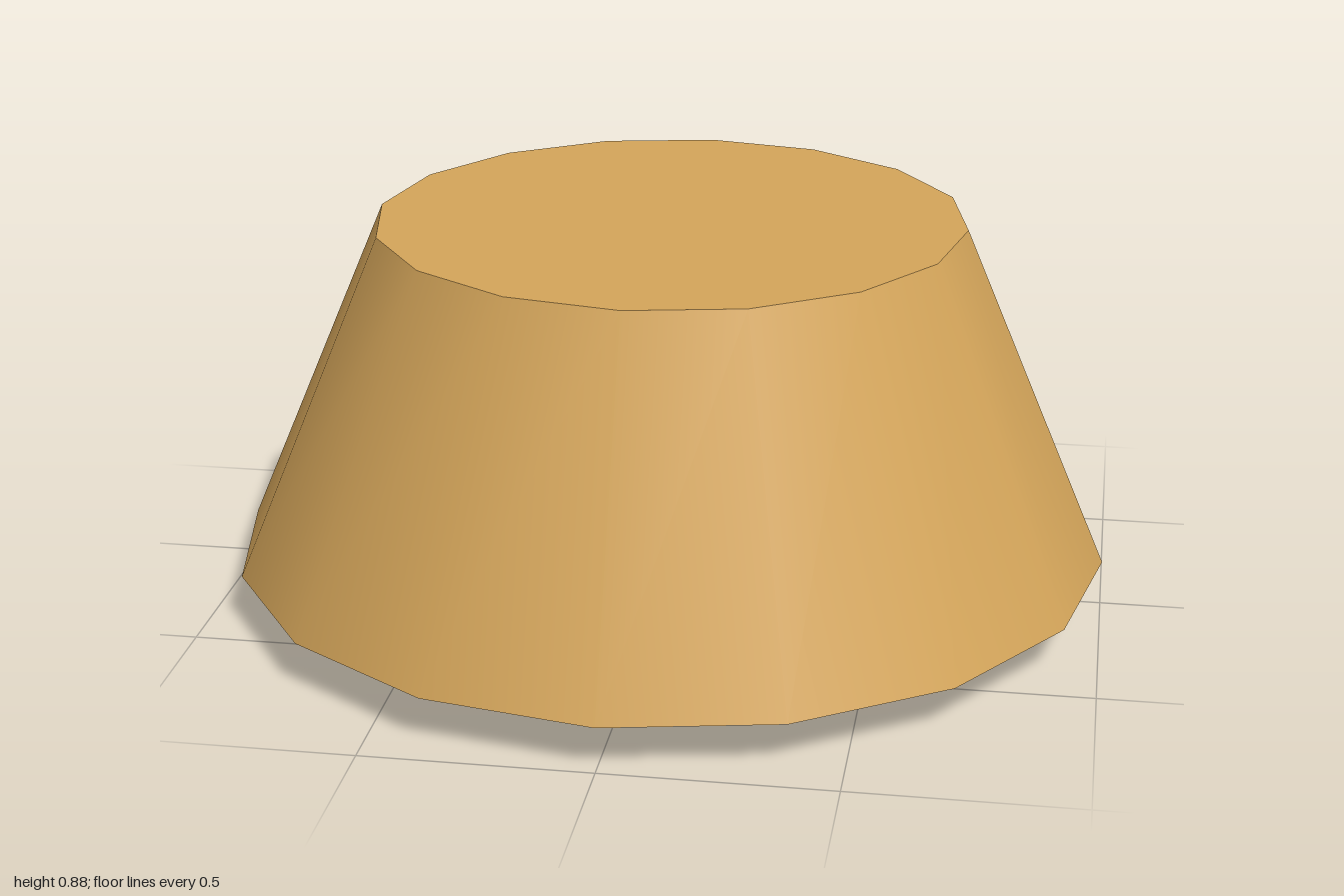
import * as THREE from 'three';

const SIDES = 16;

export function createModel() {
  const group = new THREE.Group();
  const gold = new THREE.MeshStandardMaterial({ name: 'warm gold', color: 0xd4a55a });
  const beige = new THREE.MeshStandardMaterial({ name: 'pale beige', color: 0xd4c4a4 });

  // Smooth-shaded 16-sided drum from y0 to y1, with flat caps
  const addDrum = (name, topRadius, bottomRadius, y0, y1, material) => {
    const geometry = new THREE.CylinderGeometry(topRadius, bottomRadius, y1 - y0, SIDES);
    const mesh = new THREE.Mesh(geometry, material);
    mesh.name = name;
    mesh.position.y = (y0 + y1) / 2;
    group.add(mesh);
  };

  // Tapered body hovering just above a thin base disc
  addDrum('taperedBody', 0.667, 1, 0.102, 0.88, gold);
  addDrum('baseDisc', 0.778, 0.778, 0, 0.09, beige);

  return group;
}
